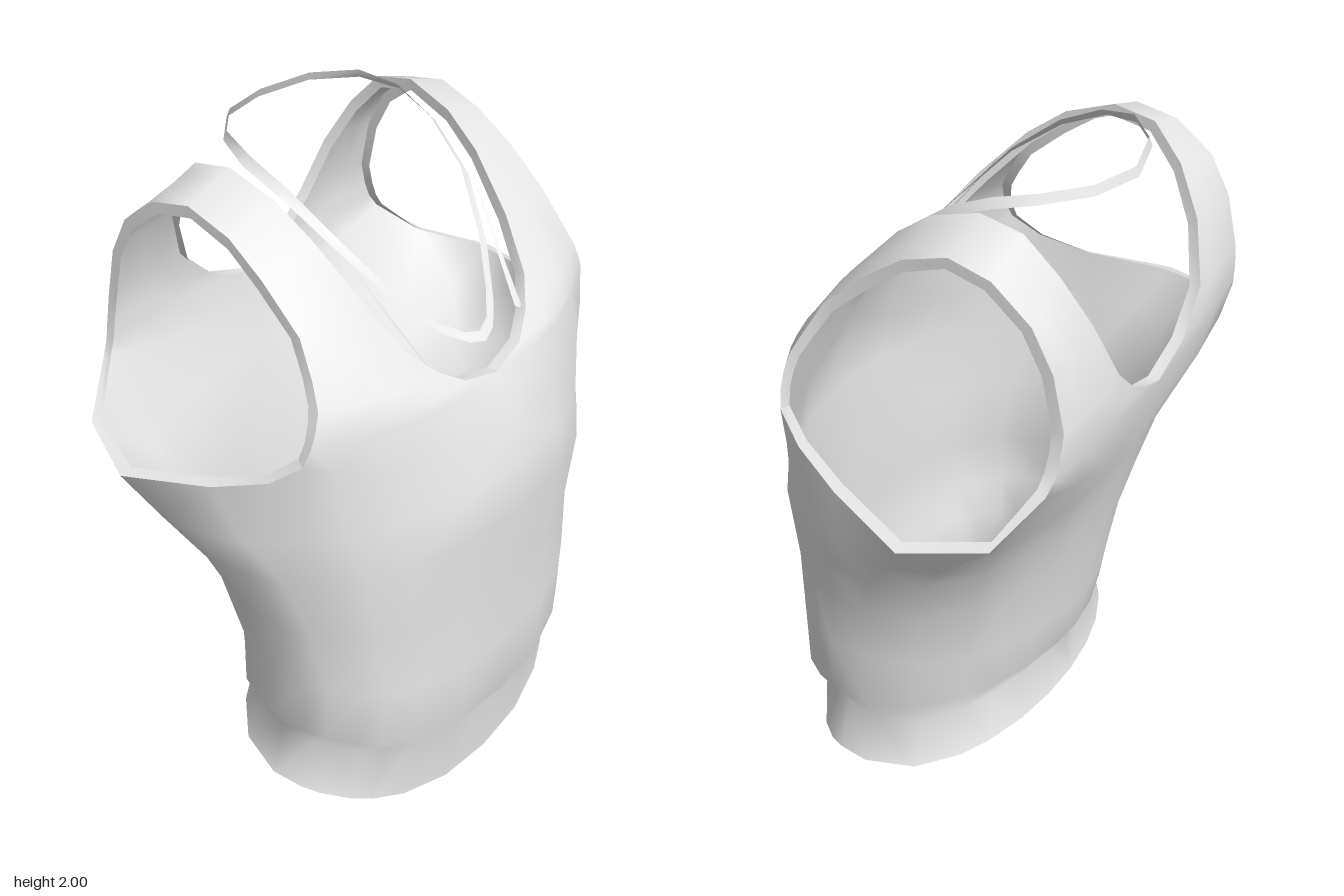
import * as THREE from 'three';
import { mergeGeometries, mergeVertices } from 'three/addons/utils/BufferGeometryUtils.js';

const cloth = new THREE.MeshStandardMaterial({ color: 0xe7e7e7, side: THREE.DoubleSide });
cloth.name = 'light grey cloth';

const V = (p) => new THREE.Vector3(p[0], p[1], p[2]);
const mirror = (pts) => pts.map((p) => new THREE.Vector3(-p.x, p.y, p.z));

// Surface through rows of points; flip reverses the faces
function loft(rows, flip = false) {
  const n = rows[0].length, P = rows.flat(), index = [];
  for (let r = 0; r < rows.length - 1; r++) {
    for (let c = 0; c < n - 1; c++) {
      const a = r * n + c, b = a + 1, d = a + n, e = d + 1;
      // split along the shorter diagonal
      const tris = P[a].distanceTo(P[e]) < P[b].distanceTo(P[d])
        ? [[a, b, e], [a, e, d]] : [[a, b, d], [b, e, d]];
      for (const t of tris) index.push(...(flip ? [t[0], t[2], t[1]] : t));
    }
  }
  const g = new THREE.BufferGeometry().setFromPoints(P);
  g.setIndex(index);
  return g;
}

function addMesh(group, name, geometry) {
  geometry.computeVertexNormals();
  const mesh = new THREE.Mesh(geometry, cloth);
  mesh.name = name;
  group.add(mesh);
}

// Half ring at the underarm, from front centre round the side to back centre
const underarm = [
  [0, 1.3, 0.472], [0.22, 1.3, 0.45], [0.42, 1.33, 0.392], [0.54, 1.36, 0.32],
  [0.61, 1.4, 0.27], [0.65, 1.335, 0.19], [0.71, 1.285, 0.04], [0.8, 1.255, -0.2],
  [0.71, 1.28, -0.41], [0.58, 1.39, -0.49], [0.46, 1.35, -0.505], [0.3, 1.31, -0.51],
  [0.15, 1.3, -0.505], [0, 1.3, -0.5],
].map(V);
const turns = [0, 0.17, 0.36, 0.5, 0.6, 0.75, 0.85, 1, 1.25, 1.45, 1.57, 1.72, 1.86, 2];

// Body rows: half width, side z, front z, back z, height at front, side, back,
// then roundness of the front and back (lower is squarer)
const bodyRows = [
  [0.6, 0.09, 0.443, -0.3, 0.003, 0.145, 0.21, 0.88, 1],
  [0.535, 0.08, 0.457, -0.27, 0.25, 0.285, 0.36, 0.84, 1.03],
  [0.595, 0.08, 0.49, -0.315, 0.29, 0.4, 0.42, 0.82, 1.1],
  [0.578, 0.08, 0.503, -0.342, 0.53, 0.57, 0.57, 0.82, 1.1],
  [0.62, 0.04, 0.494, -0.375, 0.77, 0.8, 0.8, 0.86, 1.1],
  [0.68, -0.03, 0.528, -0.425, 1.03, 0.99, 1.0, 0.93, 1.1],
  [0.74, -0.12, 0.512, -0.462, 1.18, 1.12, 1.16, 0.98, 1.0],
];

function bodyRing([w, zs, zf, zb, yf, ys, yb, pf, pb]) {
  return turns.map((t) => {
    const s = Math.sin(t * Math.PI / 2), c = Math.abs(Math.cos(t * Math.PI / 2));
    const [z, y, p] = t <= 1 ? [zf, yf, pf] : [zb, yb, pb];
    const x = t === 2 ? 0 : w * s ** p;
    return new THREE.Vector3(x, ys + (y - ys) * c ** 2, zs + (z - zs) * c ** p);
  });
}

// Upper panel rows over the shoulder: neckline point, armhole point, bulge in z
const panelRows = [
  [[0, 1.43, 0.41], [0.59, 1.445, 0.28], 0.055],
  [[0.12, 1.457, 0.395], [0.57, 1.49, 0.28], 0.045],
  [[0.195, 1.508, 0.358], [0.55, 1.535, 0.272], 0.03],
  [[0.257, 1.575, 0.305], [0.53, 1.6, 0.237], 0.018],
  [[0.3, 1.7, 0.205], [0.51, 1.69, 0.182], 0.01],
  [[0.333, 1.84, 0.07], [0.505, 1.8, 0.06], 0],
  [[0.348, 1.92, -0.04], [0.5, 1.875, -0.05], 0],
  [[0.358, 1.968, -0.18], [0.505, 1.92, -0.18], 0],
  [[0.36, 1.945, -0.3], [0.512, 1.895, -0.3], 0],
  [[0.345, 1.85, -0.39], [0.518, 1.81, -0.41], -0.005],
  [[0.31, 1.72, -0.465], [0.52, 1.7, -0.47], -0.01],
  [[0.25, 1.56, -0.515], [0.525, 1.55, -0.505], -0.01],
  [[0.14, 1.45, -0.522], [0.54, 1.48, -0.505], -0.01],
  [[0, 1.4, -0.52], [0.555, 1.43, -0.5], -0.01],
].map(([a, b, bulge]) => ({ inner: V(a), outer: V(b), bulge }));

export function createModel() {
  const group = new THREE.Group();
  group.name = 'tankTop';

  // Body and shoulder straps as one smooth cloth
  const body = [...bodyRows.map(bodyRing), underarm];
  const panel = [
    underarm.slice(0, 5),
    ...panelRows.map(({ inner, outer, bulge }) => [0, 0.25, 0.5, 0.75, 1].map((t) => {
      const p = inner.clone().lerp(outer, t);
      p.z += bulge * Math.sin(Math.PI * t);
      return p;
    })),
    underarm.slice(9).reverse(),
  ];
  const halves = [body, panel].flatMap((rows) => [loft(rows), loft(rows.map(mirror), true)]);
  addMesh(group, 'shirtBody', mergeVertices(mergeGeometries(halves), 1e-4));

  // Turned-in edge of the neckline, facing into the cloth's thickness
  const inset = (p, y, d) => p.clone().add(
    new THREE.Vector3(0, y - p.y, -0.1 - p.z).setLength(d));
  const necklineHalf = panelRows.map((r) => r.inner);
  const neckline = [...necklineHalf, ...mirror(necklineHalf).reverse().slice(1)];
  addMesh(group, 'necklineEdge', loft([neckline, neckline.map((p) => inset(p, 1.42, 0.033))]));

  // Turned-in edges of the armholes, turning sideways under the arm
  const armhole = [underarm[4], ...panelRows.map((r) => r.outer),
    ...underarm.slice(4, 10).reverse()];
  const armInner = armhole.map((p) => {
    const w = THREE.MathUtils.clamp((p.x - 0.55) / 0.2, 0, 1);
    const q = inset(p, 1.58, 0.032 * (1 - 0.7 * w));
    q.x -= 0.035 * w;
    return q;
  });
  addMesh(group, 'leftArmholeEdge', loft([armInner, armhole]));
  addMesh(group, 'rightArmholeEdge', loft([mirror(armInner), mirror(armhole)], true));

  // Ribbon hanging round the neck, standing upright at the nape
  const towardAxis = (p, d, dy) => {
    const v = new THREE.Vector3(-p.x, 0, -0.1 - p.z).setLength(d);
    return p.clone().add(v).setY(p.y + dy);
  };
  const ribbonHalf = [
    [0, 1.51, 0.37], [0.05, 1.522, 0.355], [0.11, 1.56, 0.31], [0.2, 1.665, 0.215],
    [0.275, 1.8, 0.09], [0.307, 1.9, -0.05], [0.312, 1.955, -0.18], [0.267, 1.975, -0.29],
    [0.16, 1.975, -0.384], [0, 1.968, -0.423],
  ].map(V);
  const ribbon = [...ribbonHalf, ...mirror(ribbonHalf).reverse().slice(1)];
  const ribbonTop = ribbon.map((p) => (p.z < -0.25
    ? towardAxis(p, 0.01, 0.025) : towardAxis(p, 0.022, 0.022)));
  addMesh(group, 'neckRibbon', loft([ribbon, ribbonTop]));

  // Thin strands from the ribbon to the neckline
  const strand = [[0.268, 1.77, 0.13], [0.235, 1.63, 0.24], [0.2, 1.505, 0.345]].map(V);
  const strandEdge = strand.map((p, i) => towardAxis(p, 0.004 + 0.009 * i, 0.005));
  addMesh(group, 'leftStrand', loft([strand, strandEdge], true));
  addMesh(group, 'rightStrand', loft([mirror(strand), mirror(strandEdge)]));

  return group;
}
